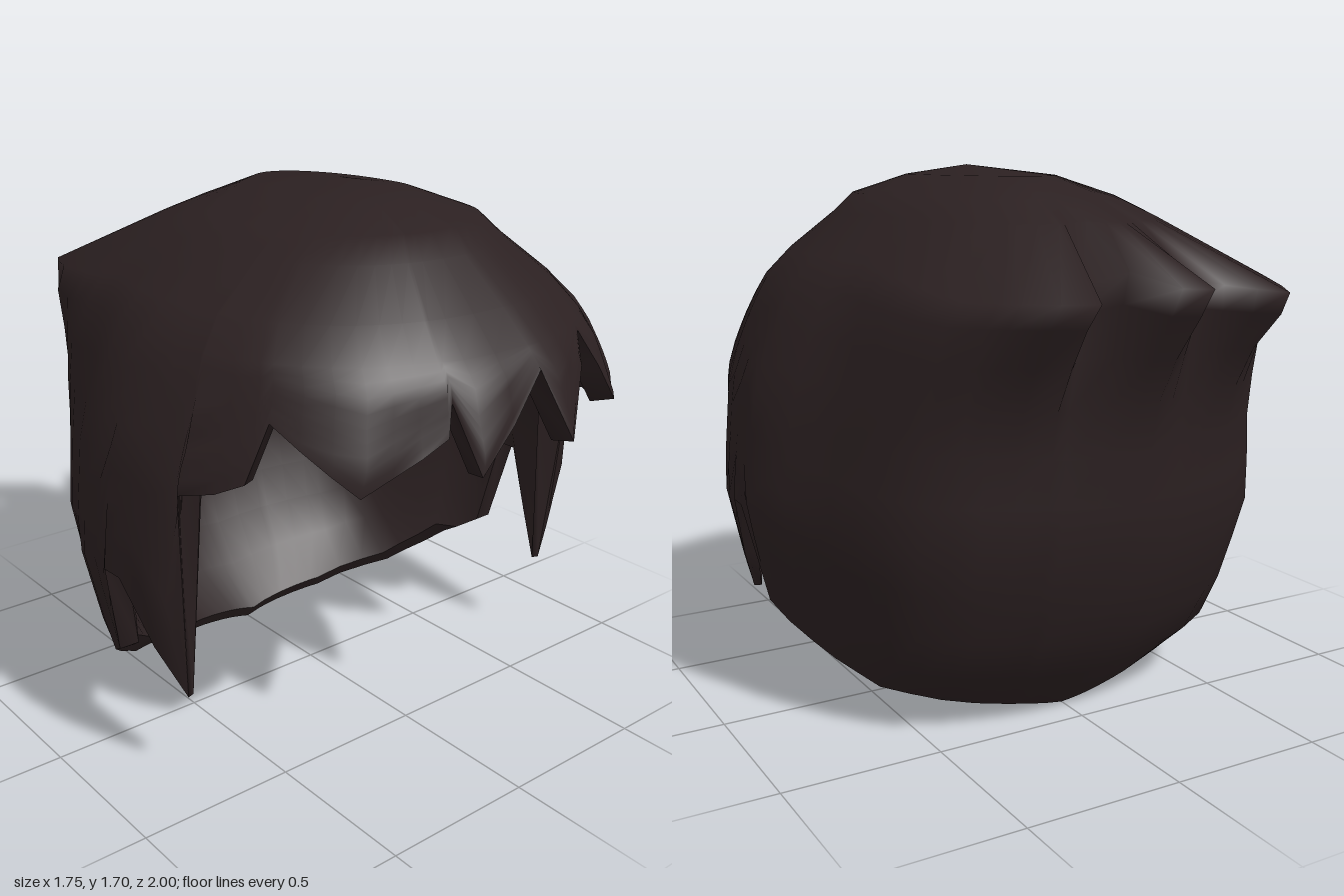
import * as THREE from 'three';

const CZ = 0.1;
// level rings over the crown, then rings spread evenly down to the hem
const CROWN_ROWS = [1.7, 1.67, 1.61, 1.55, 1.43, 1.34], LOWER_ROWS = 9;

// piecewise-linear lookup in [key, value] pairs sorted by key
function lookup(pairs, k) {
  if (k <= pairs[0][0]) return pairs[0][1];
  for (let i = 1; i < pairs.length; i++) {
    const [a, va] = pairs[i - 1], [b, vb] = pairs[i];
    if (k <= b) return va + (vb - va) * (k - a) / (b - a);
  }
  return pairs[pairs.length - 1][1];
}

// head profile by height: half width, front depth and back depth from the centre line
const WIDTH = [[0, 0.45], [0.05, 0.54], [0.12, 0.71], [0.2, 0.76], [0.35, 0.81], [0.67, 0.877],
  [1.03, 0.835], [1.2, 0.77], [1.39, 0.68], [1.61, 0.38], [1.67, 0.2], [1.7, 0]];
const FRONT = [[0.3, 0.77], [0.6, 0.81], [0.97, 0.89], [1.1, 0.9], [1.28, 0.83], [1.4, 0.72],
  [1.61, 0.44], [1.67, 0.2], [1.7, 0]];
const BACK = [[0, 0.48], [0.25, 0.7], [0.62, 0.83], [1, 0.85], [1.2, 0.86], [1.43, 0.81],
  [1.55, 0.7], [1.67, 0.42], [1.7, 0]];

// hem height by angle in degrees: back and sideburn are mirrored, the fringe is not
const SIDE = [[72, 0.97], [72.5, 0.3], [79, 0.45], [85, 0.66], [89, 0.66], [92, 0.35],
  [112, 0.2], [125, 0.12], [146, 0.05], [180, 0]];
const FRINGE = [[-64, 1.0], [-58, 1.04], [-55, 1.2], [-35, 1.02], [-17, 1.15], [-16, 1.24], [-11.5, 1.05],
  [4, 1.28], [7, 1.08], [27, 1.32], [36.5, 1.08], [51, 1.21], [54, 1.02], [58, 1.03], [64, 1.0]];
const HEM = [...SIDE.map(([a, y]) => [-a, y]).reverse(), ...FRINGE, ...SIDE];

// uneven outline below the crown: scale by angle, for the locks of the fringe and the corners behind
const OUTLINE = [[-180, 1], [-160, 1], [-138, 1.03], [-121, 0.98], [-111, 0.97], [-95, 1], [-35, 0.98],
  [-26, 0.94], [-16, 0.95], [-11.5, 1], [4, 0.98], [7, 1.01], [15, 0.97], [27, 0.96], [36.5, 0.99],
  [51, 0.96], [54, 1.02], [66, 1], [95, 1], [111, 0.96], [121, 0.97], [138, 1.03], [160, 1], [180, 1]];

// three tufts at the back: outward flare and droop by angle, and strength by height
const TUFTS = [[-180, 0.295], [-175.6, 0.365], [-167.5, 0.12], [-150.7, 0.4], [-130, 0.17], [-112, 0],
  [112, 0], [131.5, 0.16], [150, 0.26], [163, 0.335], [165.5, 0.04], [180, 0.295]];
const DROOP = [[-167.5, 0.04], [-150.7, 0.08], [-112, 0], [112, 0], [140, 0.08], [163, 0.07], [170, 0]];
const TUFT_STRENGTH = [[1, 0], [1.2, 0.3], [1.43, 1], [1.55, 0.1], [1.66, 0]];

// column angles: every hem and tuft corner, with extra columns in wide gaps
function columnAngles() {
  const corners = [...new Set([...HEM, ...TUFTS].map(([a]) => a))].sort((a, b) => a - b);
  const out = [];
  for (let i = 0; i < corners.length - 1; i++) {
    const a = corners[i], b = corners[i + 1], n = Math.ceil((b - a) / 8);
    for (let k = 0; k < n; k++) out.push(a + (b - a) * k / n);
  }
  return out;
}

const spow = (v, p) => Math.sign(v) * Math.pow(Math.abs(v), p);

// point on the head surface, scaled about the centre line; squarer in front than behind
function surfacePoint(deg, y, scale) {
  const t = deg * Math.PI / 180, c = Math.cos(t), s = Math.sin(t);
  const p = c >= 0 ? 0.87 : 1;
  const lean = 0.08 * Math.max(0, (y - 1.5) / 0.2);
  const low = THREE.MathUtils.clamp((1.45 - y) / 0.3, 0, 1);
  const r = scale * (1 + (lookup(OUTLINE, deg) - 1) * low);
  const x = lookup(WIDTH, y) * spow(s, p) * r + lean;
  const z = CZ + lookup(c >= 0 ? FRONT : BACK, y) * spow(c, p) * r;
  return [x, y, z];
}

function outerPoint(deg, y) {
  const strength = lookup(TUFT_STRENGTH, y);
  const [x, , z] = surfacePoint(deg, y, 1 + lookup(TUFTS, deg) * strength);
  return [x, y - lookup(DROOP, deg) * strength, z];
}

// lining: tapering down the sideburns and raised along the back hem
function innerPoint(deg, y, hem) {
  const a = Math.abs(deg);
  const inset = a > 66 && a < 90 ? 0.03 + 0.15 * THREE.MathUtils.clamp(y - 0.3, 0, 0.7) : 0.08;
  const [x, , z] = surfacePoint(deg, y, 1 - inset);
  const lift = a > 100 ? 0.05 * Math.max(0, 1 - (y - hem) / 0.6) : 0;
  return [x, y + lift - 0.08 * Math.max(0, y - 0.9), z];
}

// closed ring grid from rows of points
function ringGrid(rows, inward) {
  const n = rows[0].length, idx = [];
  for (let j = 0; j < rows.length - 1; j++) {
    for (let i = 0; i < n; i++) {
      const k = (i + 1) % n;
      const a = j * n + i, b = j * n + k, c = a + n, d = b + n;
      if (inward) idx.push(a, b, c, b, d, c);
      else idx.push(a, c, b, b, c, d);
    }
  }
  const g = new THREE.BufferGeometry();
  g.setAttribute('position', new THREE.Float32BufferAttribute(rows.flat(2), 3));
  g.setIndex(idx);
  g.computeVertexNormals();
  // the crown points coincide, so they share an upright normal
  if (rows.length > 2) {
    for (let i = 0; i < n; i++) g.attributes.normal.setXYZ(i, 0, inward ? -1 : 1, 0);
  }
  return g;
}

// rows of points from the crown to the hem
function shell(pointAt) {
  const angles = columnAngles();
  const last = CROWN_ROWS[CROWN_ROWS.length - 1];
  const rows = CROWN_ROWS.map((y) => angles.map((a) => pointAt(a, y, lookup(HEM, a))));
  for (let j = 1; j <= LOWER_ROWS; j++) {
    rows.push(angles.map((a) => {
      const hem = lookup(HEM, a);
      return pointAt(a, last + (hem - last) * j / LOWER_ROWS, hem);
    }));
  }
  return rows;
}

export function createModel() {
  const group = new THREE.Group();
  group.name = 'hair';
  const hair = new THREE.MeshStandardMaterial({ color: 0x2b2021 });
  hair.name = 'darkBrown';
  const add = (name, geometry) => {
    const m = new THREE.Mesh(geometry, hair);
    m.name = name;
    group.add(m);
  };

  // cap with fringe, sideburns and tufts, its lining and the edge between them
  const outer = shell(outerPoint), inner = shell(innerPoint);
  add('outerHair', ringGrid(outer, false));
  add('lining', ringGrid(inner, true));
  add('hemEdge', ringGrid([outer.at(-1), inner.at(-1)], false));
  return group;
}
